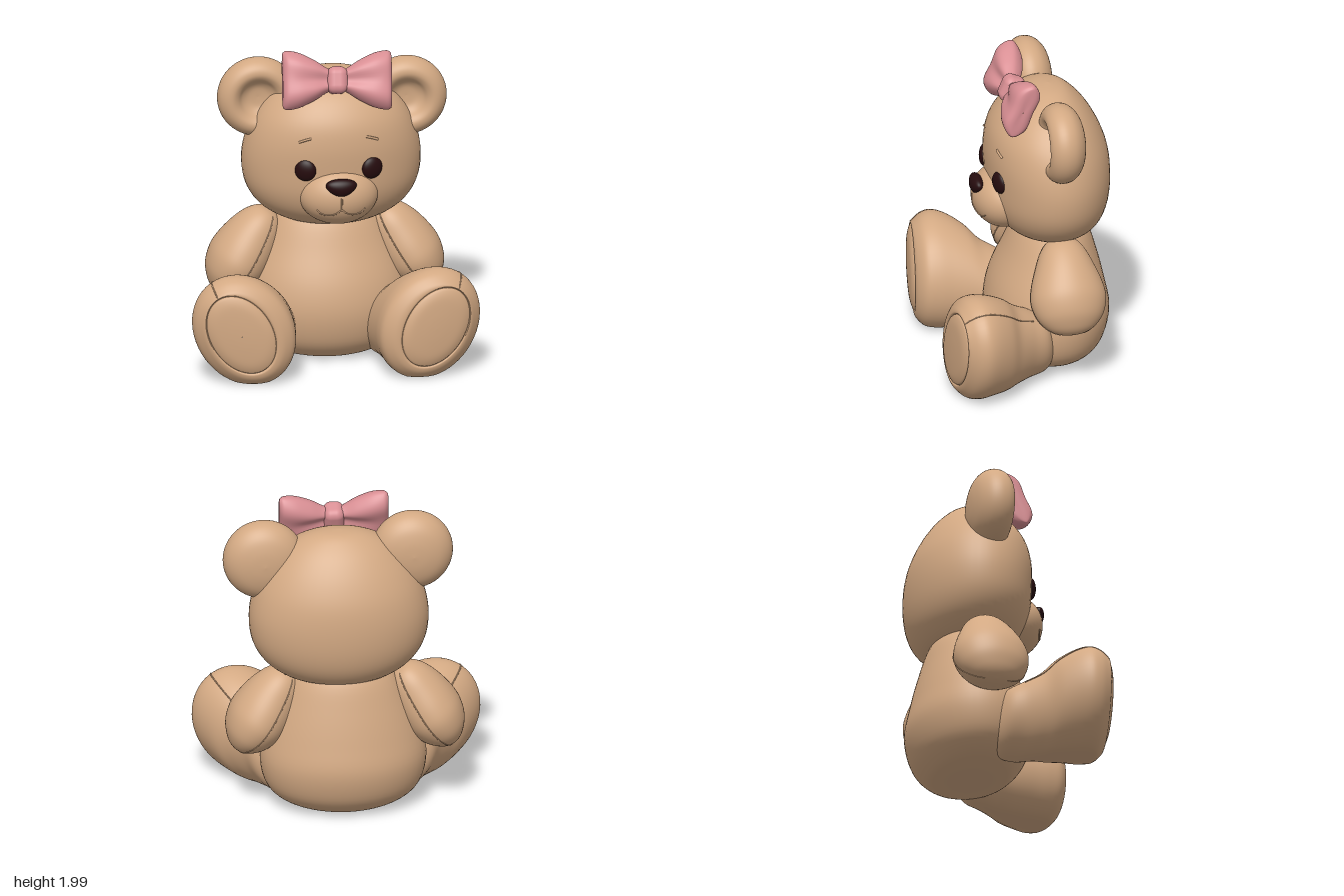
import * as THREE from 'three';
import { RoundedBoxGeometry } from 'three/addons/geometries/RoundedBoxGeometry.js';

const makeMat = (name, color) => new THREE.MeshStandardMaterial({ name, color });

// Smooth interpolation through a list of cross-sections [t, centreU, centreV, radiusU, radiusV]
function ringAt(rings, f) {
  const i = Math.min(Math.floor(f), rings.length - 2), k = f - i;
  const get = (n) => rings[Math.max(0, Math.min(rings.length - 1, n))];
  const [a, b, c, d] = [get(i - 1), get(i), get(i + 1), get(i + 2)];
  return b.map((_, n) => {
    const m0 = (c[n] - a[n]) / 2, m1 = (d[n] - b[n]) / 2, e = b[n] - c[n];
    return b[n] + k * (m0 + k * (-3 * e - 2 * m0 - m1 + k * (2 * e + m0 + m1)));
  });
}

// Point on an elliptical section; roll turns the ellipse, rule bends the result
function pointAt(rings, f, angle, { roll = 0, rule } = {}) {
  const [t, cu, cv, ru, rv] = ringAt(rings, f);
  const x = Math.max(ru, 0.0005) * Math.cos(angle), y = Math.max(rv, 0.0005) * Math.sin(angle);
  const p = new THREE.Vector3(
    cu + x * Math.cos(roll) + y * Math.sin(roll),
    cv - x * Math.sin(roll) + y * Math.cos(roll), t);
  if (rule) rule(p, angle);
  return p;
}

// Closed skin over the cross-sections, running along +z
function loft(rings, options, sides = 56, steps = 5) {
  const rows = (rings.length - 1) * steps, pos = [], index = [];
  for (let j = 0; j <= rows; j++) {
    for (let i = 0; i < sides; i++) {
      pos.push(...pointAt(rings, j / steps, (i / sides) * Math.PI * 2, options).toArray());
      if (j === rows) continue;
      const a = j * sides + i, b = j * sides + (i + 1) % sides;
      index.push(a, b, a + sides, b, b + sides, a + sides);
    }
  }
  const g = new THREE.BufferGeometry();
  g.setAttribute('position', new THREE.Float32BufferAttribute(pos, 3));
  g.setIndex(index);
  g.computeVertexNormals();
  return g;
}

const tube = (pts, r) => new THREE.TubeGeometry(new THREE.CatmullRomCurve3(pts), 32, r, 6);

// Raised stitch line along a lofted part at one angle
function seam(rings, angle, from, to, options) {
  const pts = [];
  for (let i = 0; i <= 14; i++) pts.push(pointAt(rings, from + (to - from) * i / 14, angle, options));
  return tube(pts, 0.004);
}

function mirrored(geometry) {
  const g = geometry.clone().scale(-1, 1, 1), a = g.index.array;
  for (let i = 0; i < a.length; i += 3) [a[i], a[i + 1]] = [a[i + 1], a[i]];
  return g;
}

export function createModel() {
  const fur = makeMat('fur', 0xd3a983);
  const pink = makeMat('bow pink', 0xd98f94);
  const dark = makeMat('dark brown', 0x260c0e);
  const model = new THREE.Group();
  model.name = 'teddyBear';

  const add = (name, g, mat, parent = model) => {
    const m = new THREE.Mesh(g, mat);
    m.name = name;
    parent.add(m);
    return m;
  };
  const addPair = (name, g, mat) => {
    add(name + 'Left', g, mat);
    add(name + 'Right', mirrored(g), mat);
  };
  // Upright form from [height, half width, front z, back z]
  const upright = (x, rows) => loft(rows.map(([y, rx, zf, zb]) =>
    [y, x, -(zf + zb) / 2, rx, (zf - zb) / 2])).rotateX(-Math.PI / 2);

  add('body', upright(0.01, [
    [0.005, 0, -0.18, -0.18], [0.012, 0.22, 0.02, -0.36], [0.05, 0.37, 0.1, -0.445],
    [0.15, 0.475, 0.17, -0.525], [0.32, 0.515, 0.2, -0.565], [0.5, 0.485, 0.17, -0.535],
    [0.7, 0.405, 0.085, -0.485], [0.88, 0.31, 0.0, -0.425], [0.97, 0.2, -0.1, -0.34], [0.98, 0, -0.2, -0.2],
  ]), fur);

  const headX = 0.037;
  add('head', upright(headX, [
    [0.846, 0, -0.18, -0.18], [0.856, 0.18, -0.04, -0.31], [0.888, 0.325, 0.05, -0.43], [0.975, 0.455, 0.137, -0.508],
    [1.1, 0.533, 0.185, -0.55], [1.26, 0.556, 0.2, -0.562], [1.42, 0.53, 0.203, -0.545], [1.56, 0.47, 0.175, -0.495],
    [1.68, 0.375, 0.1, -0.425], [1.765, 0.265, 0.0, -0.35], [1.815, 0.14, -0.1, -0.28], [1.83, 0, -0.19, -0.19],
  ]), fur);

  // Ears: rounded back, broad soft rim, small hollow in front
  const earProfile = new THREE.SplineCurve([
    [0, -0.13], [0.09, -0.122], [0.175, -0.095], [0.232, -0.045], [0.252, 0.015], [0.24, 0.07],
    [0.205, 0.108], [0.165, 0.118], [0.13, 0.1], [0.1, 0.065], [0.06, 0.042], [0, 0.036],
  ].map((p) => new THREE.Vector2(...p))).getPoints(48);
  earProfile.forEach((p) => { p.x = Math.max(p.x, 0); });
  const earShape = new THREE.LatheGeometry(earProfile, 48).rotateX(Math.PI / 2);
  for (const [name, x, y] of [['earLeft', 0.5, 1.632], ['earRight', -0.42, 1.662]]) {
    add(name, earShape, fur).position.set(x, y, -0.18);
  }

  // Muzzle, nose and mouth
  const mx = 0.047, my = 1.1;
  add('muzzle', new THREE.SphereGeometry(1, 48, 32).scale(0.247, 0.19, 0.195).translate(mx, my, 0.1), fur);
  const onMuzzle = (x, y) => new THREE.Vector3(mx + x, y,
    0.1 + 0.195 * Math.sqrt(1 - (x / 0.247) ** 2 - ((y - my) / 0.19) ** 2));
  const nose = new THREE.SphereGeometry(1, 32, 24);
  const np = nose.attributes.position;
  for (let i = 0; i < np.count; i++) np.setX(i, np.getX(i) * (1 + 0.35 * np.getY(i)));
  nose.scale(0.091, 0.058, 0.045).translate(mx, 1.188, 0.264);
  nose.computeVertexNormals();
  add('nose', nose, dark);
  add('mouthLine', tube([1.13, 1.1, 1.05].map((y) => onMuzzle(0, y)), 0.005), fur);
  for (const s of [-1, 1]) {
    const side = s > 0 ? 'Left' : 'Right';
    add('smile' + side, tube([[0, 1.055], [0.04, 1.022], [0.09, 1.012], [0.13, 1.025], [0.15, 1.045]]
      .map(([x, y]) => onMuzzle(s * x, y)), 0.005), fur);
    // Eyes and brows
    const eye = add('eye' + side, new THREE.SphereGeometry(1, 32, 24).scale(0.068, 0.07, 0.034), dark);
    eye.position.set(headX + 0.006 + s * 0.207, 1.28, 0.166);
    eye.rotation.y = s * 0.34;
    add('brow' + side, tube([[0.17, 1.486, 0.174], [0.205, 1.476, 0.169], [0.245, 1.46, 0.157]]
      .map(([x, y, z]) => new THREE.Vector3(headX + 0.006 + s * x, y, z)), 0.008), fur);
  }

  // Arms: flattened mitts hanging outward from the shoulder
  const armRings = [
    [0, 0, 0, 0, 0], [0.02, 0, 0, 0.07, 0.08], [0.08, 0, 0, 0.125, 0.135], [0.18, 0, 0, 0.165, 0.18],
    [0.3, 0, 0, 0.187, 0.222], [0.4, 0, 0, 0.187, 0.235], [0.5, 0, 0, 0.155, 0.205],
    [0.57, 0, 0, 0.1, 0.145], [0.605, 0, 0, 0.05, 0.075], [0.615, 0, 0, 0, 0],
  ];
  const placeArm = (g) => g.rotateX(Math.PI / 2).rotateZ(0.58).translate(0.335, 0.91, -0.2);
  addPair('arm', placeArm(loft(armRings)), fur);
  addPair('armFrontSeam', placeArm(seam(armRings, 1.85, 1, 8)), fur);
  addPair('armBackSeam', placeArm(seam(armRings, -1.85, 1, 8)), fur);

  // Legs: widening to big tilted feet, with a grooved oval sole
  const legRings = [
    [-0.14, 0.37, 0.2, 0, 0], [-0.13, 0.375, 0.2, 0.08, 0.1], [-0.08, 0.39, 0.225, 0.15, 0.205],
    [0.02, 0.41, 0.245, 0.19, 0.25], [0.12, 0.46, 0.27, 0.23, 0.275], [0.2, 0.51, 0.3, 0.265, 0.32],
    [0.3, 0.55, 0.325, 0.29, 0.352], [0.39, 0.572, 0.335, 0.302, 0.366], [0.46, 0.578, 0.335, 0.288, 0.35],
    [0.51, 0.588, 0.337, 0.238, 0.308], [0.525, 0.6, 0.343, 0.202, 0.28], [0.516, 0.603, 0.344, 0.191, 0.268],
    [0.53, 0.604, 0.344, 0.182, 0.258], [0.547, 0.604, 0.344, 0.14, 0.2], [0.555, 0.604, 0.344, 0.065, 0.095],
    [0.557, 0.604, 0.344, 0, 0],
  ];
  const legOptions = {
    roll: 0.52,
    rule: (p) => {
      p.z -= 0.13 * (p.x - 0.58) * THREE.MathUtils.smoothstep(p.z, 0.1, 0.5);
      p.y = Math.max(p.y, 0.01);
    },
  };
  addPair('leg', loft(legRings, legOptions), fur);
  addPair('legTopSeam', seam(legRings, 1.5, 3, 9.6, legOptions), fur);

  // Bow: two flared loops, pinched by a knot
  const bow = new THREE.Group();
  bow.name = 'bow';
  bow.position.set(0.047, 1.815, 0.042);
  bow.rotation.set(-0.4, 0, -0.035);
  model.add(bow);
  const loopRings = [
    [0, 0, 0, 0.04, 0.06], [0.06, 0, 0, 0.05, 0.075], [0.14, 0, 0, 0.072, 0.125], [0.23, 0, 0, 0.082, 0.168],
    [0.3, 0, 0, 0.074, 0.183], [0.328, 0, 0, 0.056, 0.176], [0.338, 0, 0, 0.03, 0.15], [0.336, 0, 0, 0, 0],
  ];
  const loop = loft(loopRings, {
    rule: (p, a) => {
      // squarer edge, and a soft fold running out from the knot
      const square = 1 + 0.3 * Math.sin(2 * a) ** 2;
      const fold = 1 - 0.35 * Math.exp(-((p.y / 0.035) ** 2)) * Math.max(0, 1 - p.z / 0.28);
      p.x *= square * fold;
    },
  }).rotateY(Math.PI / 2);
  add('bowLoopLeft', loop, pink, bow);
  add('bowLoopRight', mirrored(loop), pink, bow);
  add('bowKnot', new RoundedBoxGeometry(0.13, 0.17, 0.145, 5, 0.05), pink, bow);

  return model;
}
